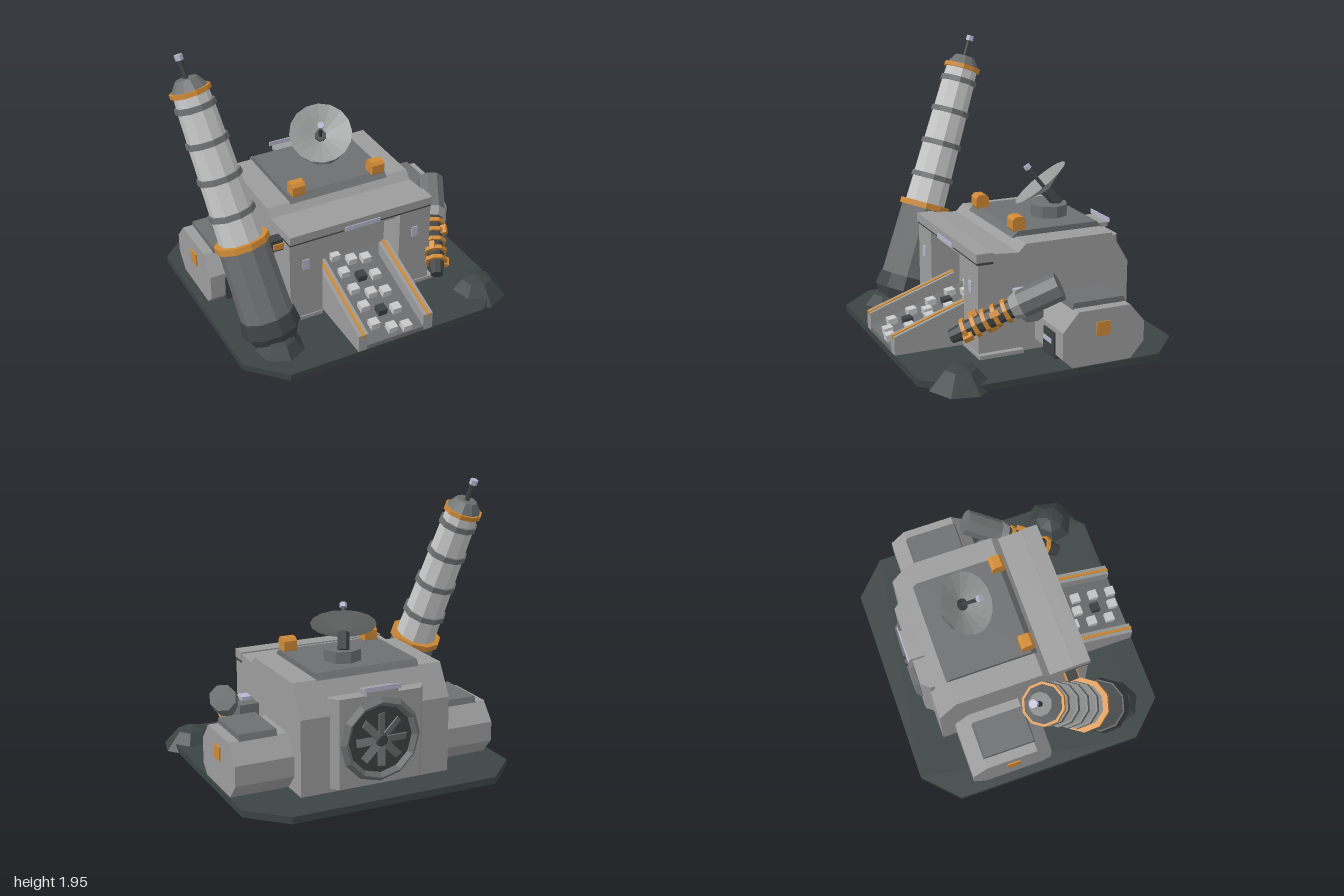
import * as THREE from 'three';

const material = (name, color, extra = {}) => {
  const m = new THREE.MeshStandardMaterial({ color, flatShading: true, ...extra });
  m.name = name;
  return m;
};

export function createModel() {
  const hull = material('hull grey', 0x9b9c9b);
  const mid = material('mid grey', 0x6d6f70);
  const dark = material('charcoal', 0x3e4142);
  const ground = material('dark green grey', 0x3b4443);
  const light = material('pale grey', 0xc8c8c8);
  const orange = material('orange', 0xcf8a35);
  const lamp = material('pale lavender', 0xb6b5cd);
  const dishGrey = material('dish grey', 0x999a9a, { side: THREE.DoubleSide });

  const model = new THREE.Group();
  const CX = 0.0475; // mirror line of the building
  const add = (name, geo, mat, parent = model) => {
    const m = new THREE.Mesh(geo, mat);
    m.name = name;
    parent.add(m);
    return m;
  };
  // box given by its limits
  const box = (name, mat, x0, x1, y0, y1, z0, z1) => add(name,
    new THREE.BoxGeometry(x1 - x0, y1 - y0, z1 - z0)
      .translate((x0 + x1) / 2, (y0 + y1) / 2, (z0 + z1) / 2), mat);
  // side profile of [z, y] points, extruded along x
  const prism = (name, mat, pts, x0, x1) => {
    const shape = new THREE.Shape(pts.map(([z, y]) => new THREE.Vector2(-z, y)));
    return add(name, new THREE.ExtrudeGeometry(shape, { depth: x1 - x0, bevelEnabled: false })
      .rotateY(Math.PI / 2).translate(x0, 0, 0), mat);
  };
  // floor plan of [x, z] points, extruded along y
  const plan = (name, mat, pts, y0, y1) => {
    const shape = new THREE.Shape(pts.map(([x, z]) => new THREE.Vector2(x, -z)));
    return add(name, new THREE.ExtrudeGeometry(shape, { depth: y1 - y0, bevelEnabled: false })
      .rotateX(-Math.PI / 2).translate(0, y0, 0), mat);
  };
  // group whose own y axis points along dir
  const axis = (name, from, dir) => {
    const g = new THREE.Group();
    g.name = name;
    g.position.set(...from);
    g.quaternion.setFromUnitVectors(new THREE.Vector3(0, 1, 0), new THREE.Vector3(...dir).normalize());
    model.add(g);
    return g;
  };
  // round section from t0 to t1 along a group's axis
  const section = (g, name, mat, t0, t1, r0, r1 = r0, sides = 10, open = false) => add(name,
    new THREE.CylinderGeometry(r1, r0, t1 - t0, sides, 1, open).translate(0, (t0 + t1) / 2, 0), mat, g);

  // base plate and anchor mounds
  plan('basePlate', ground, [[-0.91, -0.65], [-0.68, -0.87], [0.72, -0.87], [0.95, -0.65],
    [0.95, 0.63], [0.72, 0.86], [-0.69, 0.86], [-0.91, 0.63]], 0.12, 0.165);
  for (const [x, z] of [[0.81, 0.62], [-0.63, 0.58]]) {
    const g = axis('anchorMound', [x, 0, z], [0, 1, 0]);
    section(g, 'moundSkirt', ground, 0.12, 0.235, 0.2, 0.1, 7);
    section(g, 'moundTop', ground, 0.235, 0.26, 0.1, 0.02, 7);
  }

  // main building: two side bays, and a middle bay with the entrance alcove
  const upper = [[0.4, 0.83], [0.13, 0.81], [0.08, 0.86], [-0.515, 0.86], [-0.635, 0.66], [-0.635, 0.165]];
  const bay = [[0.4, 0.165], ...upper];
  prism('rightBay', hull, bay, -0.465, -0.235);
  prism('leftBay', hull, bay, 0.33, 0.56);
  prism('middleBay', hull, [[0.2, 0.165], [0.2, 0.695], [0.34, 0.695], [0.34, 0.735],
    [0.38, 0.735], [0.38, 0.77], [0.4, 0.77], ...upper], -0.235, 0.33);
  box('canopyEdge', hull, -0.467, 0.562, 0.775, 0.832, 0.3, 0.412);
  box('canopyGap', dark, -0.466, 0.561, 0.76, 0.775, 0.3, 0.405);
  box('frontLamp', lamp, -0.08, 0.175, 0.765, 0.795, 0.405, 0.418);
  for (const x of [-0.352, 0.443]) box('doorLamp', lamp, x - 0.023, x + 0.023, 0.555, 0.63, 0.398, 0.407);
  for (const [a, b] of [[-0.48, -0.235], [0.33, 0.6]]) box('wallFoot', hull, a, b, 0.165, 0.19, 0.11, 0.408);

  // roof plate and warning lights
  prism('roofPlate', mid, [[0.1, 0.855], [0.06, 0.895], [-0.495, 0.895], [-0.525, 0.855]], -0.305, 0.4);
  for (const x of [-0.24, 0.34]) {
    prism('roofLight', orange, [[0.0, 0.9], [0.02, 0.88], [0.07, 0.88], [0.09, 0.9],
      [0.09, 0.96], [0.07, 0.98], [0.02, 0.98], [0.0, 0.96]], x - 0.045, x + 0.045);
  }

  // side pods, mirrored about the building's middle
  const podProfile = [[0.015, 0.23], [0.015, 0.4], [-0.09, 0.52], [-0.44, 0.52],
    [-0.54, 0.4], [-0.54, 0.27], [-0.45, 0.168], [-0.05, 0.168]];
  for (const s of [1, -1]) {
    const span = (a, b) => s > 0 ? [CX + a, CX + b] : [CX - b, CX - a];
    prism('pod', hull, podProfile, ...span(0.5, 0.9));
    prism('podRoofPlate', mid, [[-0.08, 0.515], [-0.09, 0.555], [-0.43, 0.555], [-0.445, 0.515]], ...span(0.583, 0.833));
    box('podBadge', orange, ...span(0.895, 0.909), 0.35, 0.44, -0.3, -0.21);
    box('podHatch', dark, ...span(0.65, 0.8), 0.2, 0.37, -0.03, 0.025);
    box('podHatchLamp', lamp, ...span(0.66, 0.765), 0.29, 0.32, 0.02, 0.03);
  }

  // rear fan housing
  plan('fanHousing', hull, [[-0.275, -0.63], [-0.23, -0.685], [0.325, -0.685], [0.37, -0.63], [0.37, -0.6], [-0.275, -0.6]], 0.19, 0.77);
  const fan = axis('rearFan', [CX, 0.48, -0.68], [0, 0, -1]);
  section(fan, 'fanBack', dark, -0.01, 0.01, 0.25, 0.25, 12);
  add('fanRim', new THREE.TorusGeometry(0.245, 0.03, 4, 12).rotateX(Math.PI / 2).translate(0, 0.008, 0), mid, fan);
  section(fan, 'fanHub', dark, 0, 0.045, 0.055, 0.035, 8);
  for (let i = 0; i < 8; i++) {
    const blade = add('fanBlade', new THREE.BoxGeometry(0.05, 0.008, 0.13).rotateZ(0.35).translate(0, 0.022, 0.105), mid, fan);
    blade.rotation.y = i * Math.PI / 4;
  }
  box('rearLamp', lamp, -0.08, 0.175, 0.8, 0.83, -0.715, -0.707);
  box('rearLampBracket', hull, -0.06, 0.155, 0.77, 0.8, -0.71, -0.6);

  // entrance ramp with rails and scattered treads
  const rise = 0.34, railY = z => 0.285 + rise * (0.86 - z);
  const wedge = (drop, z0, z1) => [[z0, 0.165], [z0, railY(z0) - drop], [z1, railY(z1) - drop], [z1, 0.165]];
  prism('ramp', mid, wedge(0.09, 0.86, 0.2), -0.16, 0.255);
  for (const x of [-0.183, 0.285]) {
    prism('rampRail', hull, wedge(0, 0.86, 0.27), x - 0.034, x + 0.034);
    prism('railStripe', orange, [[0.865, railY(0.865) - 0.015], [0.865, railY(0.865) + 0.006],
      [0.265, railY(0.265) + 0.006], [0.265, railY(0.265) - 0.015]], x - 0.01, x + 0.01);
  }
  for (let c = 0; c < 3; c++) for (let r = 0; r < 5; r++) {
    const z = [0.75, 0.81, 0.83][c] - r * 0.135;
    const tread = add('tread', new THREE.BoxGeometry(0.062, 0.045, 0.06),
      c === 1 && r % 2 === 1 ? dark : light);
    tread.position.set(-0.05 + c * 0.095, railY(z) - 0.07, z);
    tread.rotation.x = 0.15;
  }

  // dish antenna
  const foot = axis('dishFoot', [0.115, 0, -0.29], [0, 1, 0]);
  section(foot, 'dishPedestal', mid, 0.89, 0.97, 0.125, 0.125, 8);
  const dish = axis('dishAntenna', [0.085, 1.1, -0.245], [-0.28, 0.77, 0.57]);
  section(dish, 'dishNeck', dark, -0.18, -0.04, 0.04, 0.04, 8);
  section(dish, 'dishBowl', dishGrey, -0.06, -0.018, 0.03, 0.14, 16, true);
  section(dish, 'dishBowlRim', dishGrey, -0.018, 0.005, 0.14, 0.21, 16, true);
  section(dish, 'dishCentre', dishGrey, -0.062, -0.055, 0.03, 0.03, 16);
  section(dish, 'feedRod', dark, -0.06, 0.125, 0.013, 0.013, 6);
  section(dish, 'feedTip', lamp, 0.12, 0.15, 0.024, 0.024, 6);

  // leaning tower
  const tower = axis('tower', [-0.6, 0, 0.565], [-0.3, 1.93, -0.73]);
  section(tower, 'towerSpike', dark, 0, 0.13, 0.005, 0.12);
  section(tower, 'towerFlare', dark, 0.13, 0.26, 0.12, 0.185);
  section(tower, 'towerCollar', dark, 0.26, 0.36, 0.195, 0.18);
  section(tower, 'towerTrunk', mid, 0.36, 0.85, 0.17, 0.16);
  section(tower, 'trunkBand', orange, 0.845, 0.885, 0.178);
  const joints = [0.885, 1.07, 1.31, 1.545, 1.77, 1.86];
  const stageR = [0.142, 0.137, 0.13, 0.123, 0.116];
  stageR.forEach((r, i) => {
    section(tower, 'towerStage', light, joints[i], joints[i + 1], r, r - 0.005);
    if (i) section(tower, 'stageRing', mid, joints[i] - 0.018, joints[i] + 0.018, r + 0.016, r + 0.013);
  });
  section(tower, 'topBand', orange, 1.85, 1.88, 0.13);
  section(tower, 'towerCap', mid, 1.88, 1.945, 0.115, 0.07);
  section(tower, 'mast', dark, 1.94, 2.065, 0.017, 0.017, 6);
  section(tower, 'mastTip', lamp, 2.06, 2.095, 0.027, 0.027, 6);

  // link between tower and building
  box('linkBeam', dark, -0.6, -0.46, 0.685, 0.765, 0.24, 0.31);
  box('linkSleeve', orange, -0.535, -0.465, 0.7, 0.742, 0.23, 0.32);

  // angled arm with ribbed barrel
  const arm = axis('arm', [0.53, 0.32, 0.57], [0.29, 0.335, -0.59]);
  section(arm, 'armNose', dark, 0, 0.1, 0.042, 0.055, 8);
  section(arm, 'armCore', dark, 0.1, 0.44, 0.055, 0.06, 8);
  for (let i = 0; i < 5; i++) {
    const t = 0.09 + i * 0.07;
    section(arm, 'armRib', orange, t, t + 0.026, 0.076, 0.076, 8);
    const lug = add('armLug', new THREE.BoxGeometry(0.05, 0.06, 0.035), orange, arm);
    lug.position.set(Math.cos(i * 2.4) * 0.065, t + 0.02, Math.sin(i * 2.4) * 0.065);
    lug.rotation.y = -i * 2.4;
  }
  section(arm, 'armCollar', hull, 0.42, 0.48, 0.07, 0.09, 8);
  section(arm, 'armDrum', mid, 0.48, 0.74, 0.088, 0.088, 8);
  prism('armBracket', mid, [[0.18, 0.45], [0.18, 0.57], [0.02, 0.57], [0.02, 0.42], [0.06, 0.4], [0.13, 0.4]], 0.55, 0.69);
  box('bracketLamp', lamp, 0.58, 0.645, 0.57, 0.595, 0.1, 0.18);

  return model;
}
